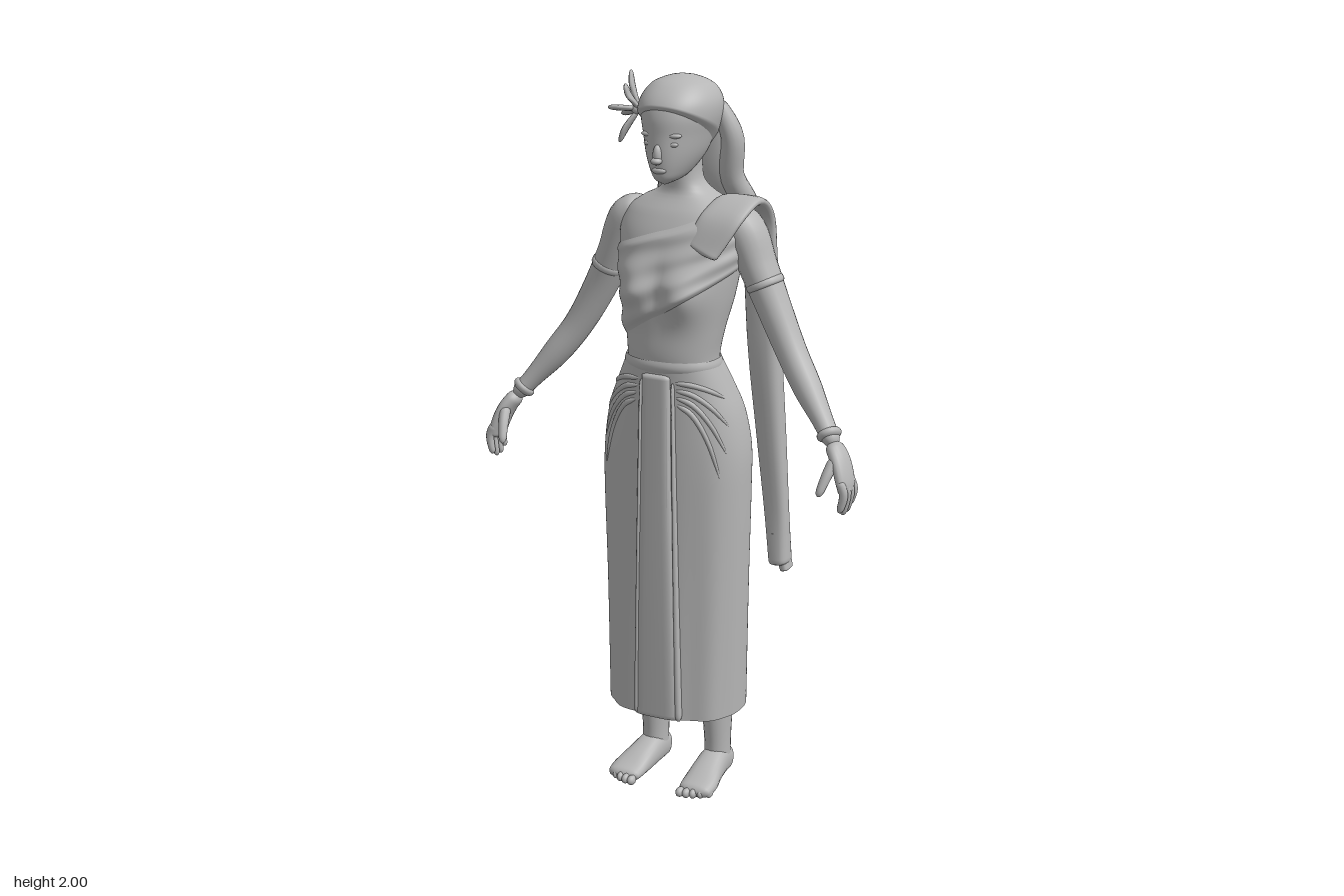
import * as THREE from 'three';

const stone = new THREE.MeshStandardMaterial({ color: 0xb6b6b6, side: THREE.DoubleSide });
stone.name = 'plain grey';

const spow = (v, n) => Math.sign(v) * Math.pow(Math.abs(v), 2 / n);

// Smooth surface from a rule fn(angle, t), closed around the angle
function tubeSurface(nu, nv, fn) {
  const pos = [], idx = [];
  for (let j = 0; j <= nv; j++) {
    for (let i = 0; i < nu; i++) pos.push(...fn((i / nu) * Math.PI * 2, j / nv));
  }
  for (let j = 0; j < nv; j++) {
    for (let i = 0; i < nu; i++) {
      const a = j * nu + i, b = j * nu + ((i + 1) % nu);
      idx.push(a, b, a + nu, b, b + nu, a + nu);
    }
  }
  const g = new THREE.BufferGeometry();
  g.setAttribute('position', new THREE.Float32BufferAttribute(pos, 3));
  g.setIndex(idx);
  g.computeVertexNormals();
  return g;
}

// Smooth interpolation in rows of [y, centreX, halfWidth, frontZ, backZ]
function sample(rows, y) {
  let k = 0;
  while (k < rows.length - 2 && y > rows[k + 1][0]) k++;
  const slope = (i, c) => {
    const a = rows[Math.max(0, i - 1)], b = rows[Math.min(rows.length - 1, i + 1)];
    return (b[c] - a[c]) / (b[0] - a[0]);
  };
  const h = rows[k + 1][0] - rows[k][0];
  const t = THREE.MathUtils.clamp((y - rows[k][0]) / h, 0, 1), t2 = t * t, t3 = t2 * t;
  return [1, 2, 3, 4].map((c) =>
    (2 * t3 - 3 * t2 + 1) * rows[k][c] + (t3 - 2 * t2 + t) * h * slope(k, c) +
    (3 * t2 - 2 * t3) * rows[k + 1][c] + (t3 - t2) * h * slope(k + 1, c));
}

// Point on an upright body; angle 0 faces the front, a quarter turn faces +x
function bodyPoint(rows, y, a, off = 0, n = 2.2) {
  const [cx, rx, zf, zb] = sample(rows, y);
  return [cx + (Math.max(rx, 0) + off) * spow(Math.sin(a), n), y,
    (zf + zb) / 2 + (Math.max(zf - zb, 0) / 2 + off) * spow(Math.cos(a), n)];
}

// Limb along rows of [x, y, z, radius along ref, other radius]
function limb(rows, ref, { round = 0.08, n = 2, nu = 20, nv = 36 } = {}) {
  const path = new THREE.CatmullRomCurve3(rows.map((r) => new THREE.Vector3(r[0], r[1], r[2])));
  const size = new THREE.CatmullRomCurve3(rows.map((r) => new THREE.Vector3(r[3], r[4], 0)), false, 'catmullrom');
  const frames = Array.from({ length: nv + 1 }, (_, j) => {
    const t = (1 - Math.cos((Math.PI * j) / nv)) / 2;
    const T = path.getTangent(t);
    const A = ref.clone().addScaledVector(T, -ref.dot(T)).normalize();
    const e = Math.min(1, t / round, (1 - t) / round);
    return { C: path.getPoint(t), A, B: T.clone().cross(A), S: size.getPoint(t), f: Math.sqrt(Math.max(0, 1 - (1 - e) ** 2)) };
  });
  return tubeSurface(nu, nv, (a, v) => {
    const { C, A, B, S, f } = frames[Math.round(v * nv)];
    return C.clone().addScaledVector(A, S.x * f * spow(Math.cos(a), n))
      .addScaledVector(B, S.y * f * spow(Math.sin(a), n)).toArray();
  });
}

const X = new THREE.Vector3(1, 0, 0), Z = new THREE.Vector3(0, 0, 1);

const skirtRows = [
  [0.23, -0.005, 0.195, 0.168, -0.13], [0.6, -0.003, 0.203, 0.162, -0.115], [0.9, -0.005, 0.211, 0.158, -0.115],
  [1.0, -0.005, 0.208, 0.156, -0.12], [1.1, -0.005, 0.19, 0.154, -0.108], [1.17, -0.002, 0.163, 0.154, -0.082],
  [1.24, 0.002, 0.133, 0.157, -0.05]];
const torsoRows = [
  [1.15, 0, 0.13, 0.13, -0.04], [1.25, 0.002, 0.127, 0.155, -0.042], [1.33, 0.005, 0.138, 0.153, -0.05],
  [1.42, 0.008, 0.155, 0.145, -0.075], [1.5, 0.006, 0.168, 0.135, -0.09], [1.58, 0, 0.175, 0.115, -0.1],
  [1.64, 0, 0.155, 0.085, -0.1], [1.67, 0, 0.115, 0.062, -0.09], [1.69, 0, 0.075, 0.05, -0.08],
  [1.72, 0, 0.05, 0.05, -0.065], [1.79, 0, 0.046, 0.06, -0.06]];
const headRows = [
  [1.722, 0, 0.004, 0.105, 0.09], [1.735, 0, 0.03, 0.13, 0.02], [1.76, 0, 0.05, 0.139, -0.03],
  [1.8, 0, 0.07, 0.143, -0.08], [1.85, 0, 0.084, 0.141, -0.1], [1.9, 0, 0.095, 0.138, -0.11],
  [1.94, 0, 0.091, 0.122, -0.105], [1.975, 0, 0.067, 0.085, -0.075], [1.993, 0, 0.035, 0.045, -0.035],
  [2.0, 0, 0.001, 0.006, 0.004]];

// Torso with bust
function torsoPoint(y, a, off) {
  const p = bodyPoint(torsoRows, y, a, off);
  if (Math.cos(a) > 0) {
    const d = (Math.abs(p[0] - 0.004) - 0.075) ** 2 + (y - 1.44) ** 2;
    p[2] += 0.042 * Math.cos(a) * Math.exp(-d / 0.0045);
  }
  return p;
}

export function createModel() {
  const model = new THREE.Group();
  const add = (name, geometry, parent = model) => {
    const m = new THREE.Mesh(geometry, stone);
    m.name = name;
    parent.add(m);
    return m;
  };
  const ball = (name, x, y, z, rx, ry, rz) => {
    const m = add(name, new THREE.SphereGeometry(1, 18, 12));
    m.position.set(x, y, z);
    m.scale.set(rx, ry, rz);
    return m;
  };

  // Body
  add('torso', tubeSurface(64, 60, (a, t) => torsoPoint(1.15 + 0.64 * t, a, 0)));
  add('head', tubeSurface(48, 50, (a, t) => bodyPoint(headRows, 1.722 + 0.278 * t, a, 0, 2.1)));
  ball('nose', 0, 1.806, 0.142, 0.012, 0.026, 0.014);
  ball('noseTip', 0, 1.79, 0.148, 0.015, 0.01, 0.016);
  ball('lips', 0, 1.763, 0.134, 0.021, 0.009, 0.011);
  for (const s of [1, -1]) {
    ball('eyelid', s * 0.032, 1.832, 0.123, 0.018, 0.008, 0.01);
    ball('brow', s * 0.033, 1.855, 0.12, 0.026, 0.008, 0.014);
  }

  // Skirt with soft hem ripples, front panel with pleats and hip gathers
  add('skirt', tubeSurface(96, 50, (a, t) => {
    const y = 0.23 + 1.01 * t, ripple = 0.004 * Math.sin(a * 9) * Math.max(0, Math.cos(a)) * (1 - t);
    return bodyPoint(skirtRows, y, a, ripple, 2.35);
  }));
  add('frontPanel', limb([[0.005, 0.225, 0.135, 0.07, 0.046], [0.002, 0.6, 0.135, 0.058, 0.042],
    [0, 0.95, 0.135, 0.047, 0.036], [0, 1.22, 0.135, 0.042, 0.032]], X, { round: 0.006, n: 4.5, nu: 32 }));
  for (const [x0, x1] of [[-0.045, -0.055], [-0.033, -0.03], [0.035, 0.045], [0.05, 0.075]]) {
    add('pleat', limb([[x1, 0.23, 0.168, 0.009, 0.012], [(x0 + x1) / 2, 0.7, 0.163, 0.007, 0.01],
      [x0, 1.2, 0.155, 0.004, 0.008]], X, { round: 0.02, nu: 10 }));
  }
  for (const s of [1, -1]) {
    for (let k = 0; k < 4; k++) {
      const rows = [0, 1, 2, 3].map((i) => {
        const t = i / 3;
        const p = bodyPoint(skirtRows, 1.2 - 0.02 * k - (0.05 + 0.055 * k) * t * t, s * (0.3 + (1.05 - 0.13 * k) * t), -0.002, 2.35);
        return [...p, 0.009 - 0.003 * t, 0.008];
      });
      add('hipGather', limb(rows, new THREE.Vector3(0, 1, 0), { round: 0.3, nu: 10, nv: 20 }));
    }
  }
  add('waistband', tubeSurface(64, 8, (a, t) =>
    bodyPoint(torsoRows, 1.215 + 0.04 * t, a, 0.003 + 0.006 * Math.sin(Math.PI * t))));

  // Diagonal wrap over the chest, with slanted folds
  add('chestWrap', tubeSurface(96, 40, (a, t) => {
    const s = Math.sin(a), low = 1.4 + 0.095 * s - 0.02 * Math.cos(a), high = 1.6 + 0.062 * s;
    const edge = Math.min(1, t * 14, (1 - t) * 14);
    return torsoPoint(low + (high - low) * t, a, 0.001 + 0.008 * edge + 0.0025 * Math.sin(t * 22 + s * 2) * edge);
  }));

  // Scarf over the left shoulder, hanging behind
  add('scarf', limb([[0.11, 1.55, 0.115, 0.05, 0.012], [0.15, 1.64, 0.065, 0.06, 0.014], [0.165, 1.675, -0.02, 0.06, 0.014],
    [0.165, 1.625, -0.098, 0.056, 0.016], [0.17, 1.5, -0.122, 0.05, 0.02], [0.182, 1.25, -0.132, 0.046, 0.036],
    [0.2, 1.0, -0.142, 0.04, 0.034], [0.218, 0.78, -0.145, 0.034, 0.028], [0.232, 0.62, -0.145, 0.028, 0.036]],
  X, { round: 0.01, n: 2.8, nv: 60 }));
  add('scarfFold', limb([[0.2, 1.6, -0.118, 0.012, 0.01], [0.2, 1.3, -0.16, 0.014, 0.012], [0.215, 1.0, -0.17, 0.013, 0.012],
    [0.23, 0.63, -0.172, 0.02, 0.012]], X, { round: 0.03, nu: 12 }));
  add('scarfTip', limb([[0.222, 0.72, -0.145, 0.02, 0.03], [0.25, 0.605, -0.15, 0.012, 0.026]], X, { round: 0.05, n: 3 }));

  for (const s of [1, -1]) {
    // Arms
    const arm = new THREE.Group();
    arm.name = s > 0 ? 'leftArm' : 'rightArm';
    model.add(arm);
    const part = (name, rows, ref, opt) => add(name, limb(rows.map((r) => [r[0] * s, ...r.slice(1)]), ref, opt), arm);
    part('arm', [[0.12, 1.635, -0.015, 0.05, 0.035], [0.17, 1.6, -0.018, 0.064, 0.055], [0.215, 1.5, -0.02, 0.06, 0.05],
      [0.265, 1.395, -0.015, 0.05, 0.046], [0.325, 1.285, 0, 0.044, 0.041], [0.385, 1.2, 0.025, 0.041, 0.038],
      [0.445, 1.125, 0.055, 0.031, 0.027], [0.49, 1.07, 0.08, 0.027, 0.023]], Z, { round: 0.06, nv: 50 });
    part('sleeveEdge', [[0.231, 1.468, -0.019, 0.058, 0.05], [0.243, 1.442, -0.018, 0.059, 0.051]], Z, { round: 0.3, nv: 10 });
    part('bracelet', [[0.462, 1.105, 0.063, 0.036, 0.032], [0.478, 1.084, 0.073, 0.037, 0.033]], Z, { round: 0.45, nv: 12 });
    // Hands
    part('palm', [[0.48, 1.08, 0.075, 0.026, 0.022], [0.51, 1.04, 0.088, 0.04, 0.022], [0.532, 0.985, 0.1, 0.043, 0.019],
      [0.538, 0.95, 0.102, 0.036, 0.014]], Z, { round: 0.15 });
    for (let k = 0; k < 4; k++) {
      const z = 0.07 + 0.021 * k, len = [0.075, 0.09, 0.092, 0.08][k];
      part('finger', [[0.53, 0.995, z, 0.011, 0.012], [0.543, 0.96, z + 0.001, 0.011, 0.012],
        [0.533, 0.99 - len, z + 0.004, 0.009, 0.009]], Z, { round: 0.12, nu: 10, nv: 14 });
    }
    part('thumb', [[0.505, 1.045, 0.108, 0.016, 0.016], [0.495, 1.005, 0.138, 0.014, 0.014], [0.483, 0.955, 0.165, 0.01, 0.01]],
      X, { round: 0.15, nu: 12, nv: 16 });

    // Legs and feet
    part('leg', [[0.095, 0.5, -0.01, 0.055, 0.06], [0.098, 0.3, -0.022, 0.047, 0.056], [0.099, 0.18, -0.022, 0.04, 0.05],
      [0.1, 0.1, -0.022, 0.036, 0.044], [0.1, 0.03, -0.022, 0.036, 0.044]], X);
    part('foot', [[0.1, 0.036, -0.074, 0.034, 0.036], [0.101, 0.045, -0.01, 0.039, 0.045], [0.106, 0.036, 0.055, 0.045, 0.036],
      [0.113, 0.024, 0.115, 0.051, 0.024], [0.113, 0.016, 0.162, 0.046, 0.016]], X, { round: 0.1, n: 2.4 });
    for (let k = 0; k < 5; k++) {
      ball('toe', s * (0.078 + 0.019 * k), 0.015, 0.165 - 0.002 * k * k, 0.012 - 0.0007 * k, 0.014, 0.017);
    }
  }

  // Hair: cap with a hairline, then wavy locks falling behind in two bunches
  add('hairCap', tubeSurface(64, 30, (a, t) => {
    const low = 1.855 + 0.065 * Math.cos(a), y = low + (2.0 - low) * t;
    return bodyPoint(headRows, y, a, 0.01 * Math.min(1, t * 8, (1 - t) * 6), 2.1);
  }));
  add('hairBack', limb([[0, 1.94, -0.05, 0.075, 0.05], [0, 1.84, -0.085, 0.1, 0.055], [0.005, 1.72, -0.105, 0.105, 0.048],
    [0.005, 1.62, -0.132, 0.1, 0.034], [0.0, 1.53, -0.135, 0.075, 0.022]], X, { round: 0.12, nu: 32 }));
  [-0.095, -0.07, -0.035, 0.03, 0.06, 0.1].forEach((x, k) => {
    const w = 0.014 * (k % 2 ? 1 : -1), end = x < 0 ? -0.07 : 0.05, low = 1.46 + 0.03 * ((k * 2) % 3);
    const side = Math.abs(x) > 0.08 ? 0.03 : 0;
    add('hairLock', limb([[x * 0.7, 1.93, -0.08 + side, 0.02, 0.02], [x + w * 0.5, 1.83, -0.105 + side, 0.03, 0.034],
      [x * 1.1 - w, 1.72, -0.125 + side, 0.034, 0.034], [x * 1.05 + w, 1.62, -0.145, 0.033, 0.032],
      [(x + end) / 2 - w, 1.54, -0.146, 0.03, 0.028], [end + w, low, -0.14, 0.01, 0.012]], X, { round: 0.06, nu: 16 }));
  });

  // Flower behind the right temple
  const heart = new THREE.Vector3(-0.115, 1.9, 0.03);
  [[-0.145, 2.0, 0.02], [-0.188, 1.905, 0.07], [-0.165, 1.81, 0.05], [-0.18, 1.875, -0.02], [-0.125, 1.97, 0.09]].forEach((tip) => {
    const mid = heart.clone().lerp(new THREE.Vector3(...tip), 0.6);
    add('petal', limb([[...heart.toArray(), 0.008, 0.006], [mid.x - 0.006, mid.y, mid.z, 0.024, 0.008], [...tip, 0.01, 0.005]],
      new THREE.Vector3(0.3, 0.25, 0.9), { round: 0.15, nu: 12, nv: 18 }));
  });
  ball('flowerHeart', -0.12, 1.9, 0.035, 0.014, 0.014, 0.014);

  return model;
}
